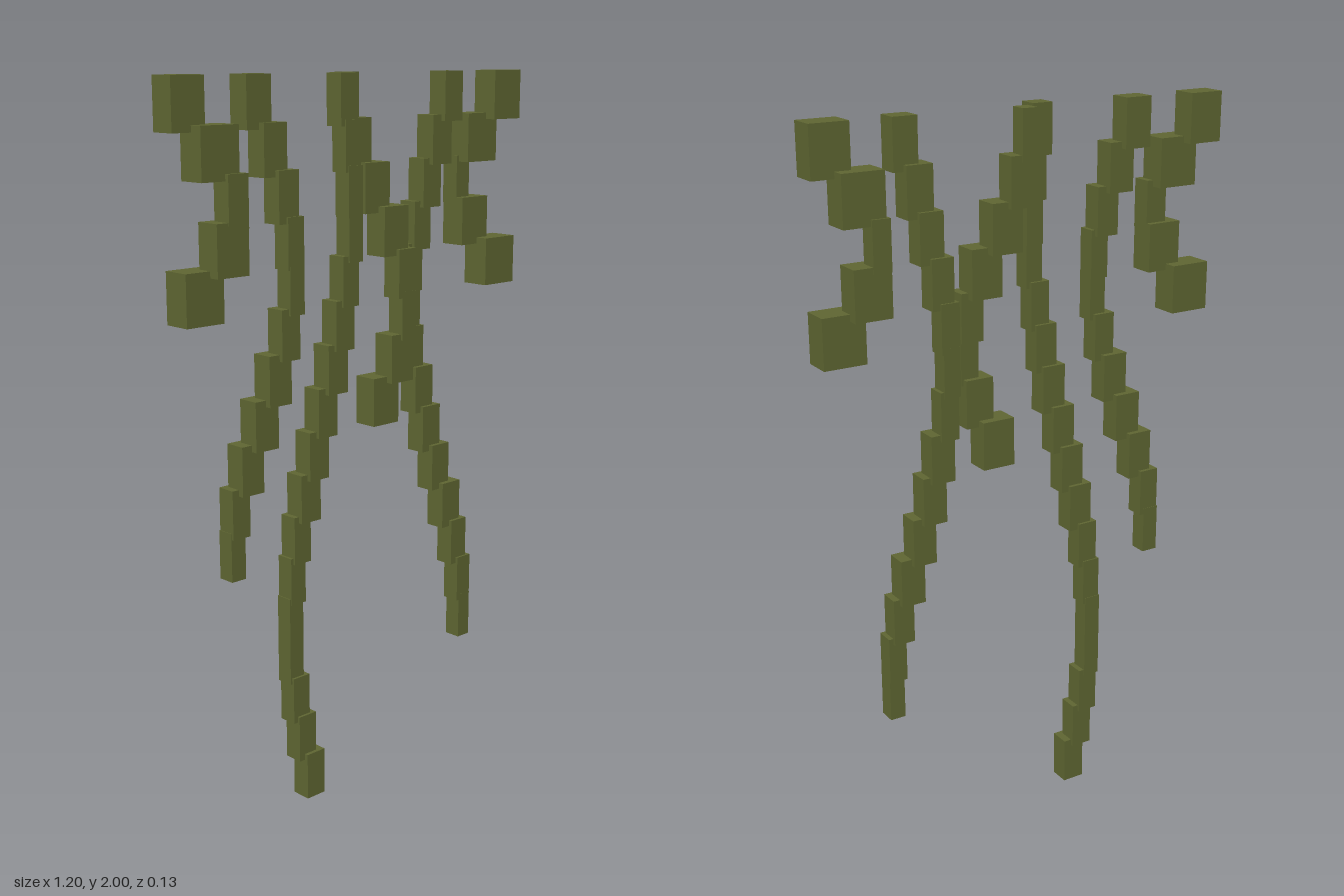
import * as THREE from 'three';

// Each strand: y of its lower end, x where it crosses z = 0, and [left, right] x edges per block, top down
const STRANDS = [
  { bottom: 1.4, mid: -0.505, blocks: [[-0.6, -0.5], [-0.543, -0.426], [-0.471, -0.408], [-0.508, -0.408], [-0.583, -0.466]] },
  { bottom: 0.7, mid: -0.33, blocks: [[-0.381, -0.302], [-0.342, -0.267], [-0.307, -0.241], [-0.283, -0.23], [-0.278, -0.23],
    [-0.302, -0.241], [-0.336, -0.262], [-0.371, -0.294], [-0.403, -0.331], [-0.424, -0.366], [-0.426, -0.379]] },
  { bottom: 0, mid: -0.125, blocks: [[-0.095, -0.037], [-0.082, -0.029], [-0.074, -0.024], [-0.072, -0.024], [-0.09, -0.034],
    [-0.109, -0.045], [-0.13, -0.061], [-0.154, -0.087], [-0.177, -0.109], [-0.199, -0.13], [-0.214, -0.156],
    [-0.222, -0.17], [-0.225, -0.177], [-0.225, -0.177], [-0.22, -0.162], [-0.207, -0.146], [-0.188, -0.124]] },
  { bottom: 1.05, mid: 0.09, blocks: [[-0.008, 0.035], [-0.003, 0.067], [0.024, 0.114], [0.072, 0.162], [0.117, 0.183],
    [0.13, 0.183], [0.095, 0.177], [0.045, 0.14]] },
  { bottom: 0.35, mid: 0.325, blocks: [[0.31, 0.379], [0.278, 0.352], [0.257, 0.325], [0.236, 0.299], [0.225, 0.278],
    [0.225, 0.273], [0.23, 0.283], [0.241, 0.31], [0.262, 0.331], [0.289, 0.357], [0.318, 0.389], [0.347, 0.408],
    [0.368, 0.421], [0.376, 0.421]] },
  { bottom: 1.4, mid: 0.5, blocks: [[0.49, 0.597], [0.418, 0.535], [0.41, 0.461], [0.41, 0.514], [0.471, 0.59]] },
];
const TOP = 2, BLOCK_HEIGHT = 0.134;

export function createModel() {
  const model = new THREE.Group();
  model.name = 'hangingVines';
  const vineGreen = new THREE.MeshStandardMaterial({ color: 0x5f6632 });
  vineGreen.name = 'vineGreen';

  STRANDS.forEach(({ bottom, mid, blocks }, s) => {
    const strand = new THREE.Group();
    strand.name = `vineStrand${s + 1}`;
    const step = (TOP - bottom - BLOCK_HEIGHT) / (blocks.length - 1);
    blocks.forEach(([left, right], i) => {
      // Wider blocks are also deeper; the strand sways diagonally, so z follows x
      const width = right - left, x = (left + right) / 2;
      const block = new THREE.Mesh(new THREE.BoxGeometry(width, BLOCK_HEIGHT, 0.03 + 0.42 * width), vineGreen);
      block.name = `vineBlock${i + 1}`;
      block.position.set(x, TOP - BLOCK_HEIGHT / 2 - i * step, 0.5 * (x - mid));
      strand.add(block);
    });
    model.add(strand);
  });
  return model;
}
